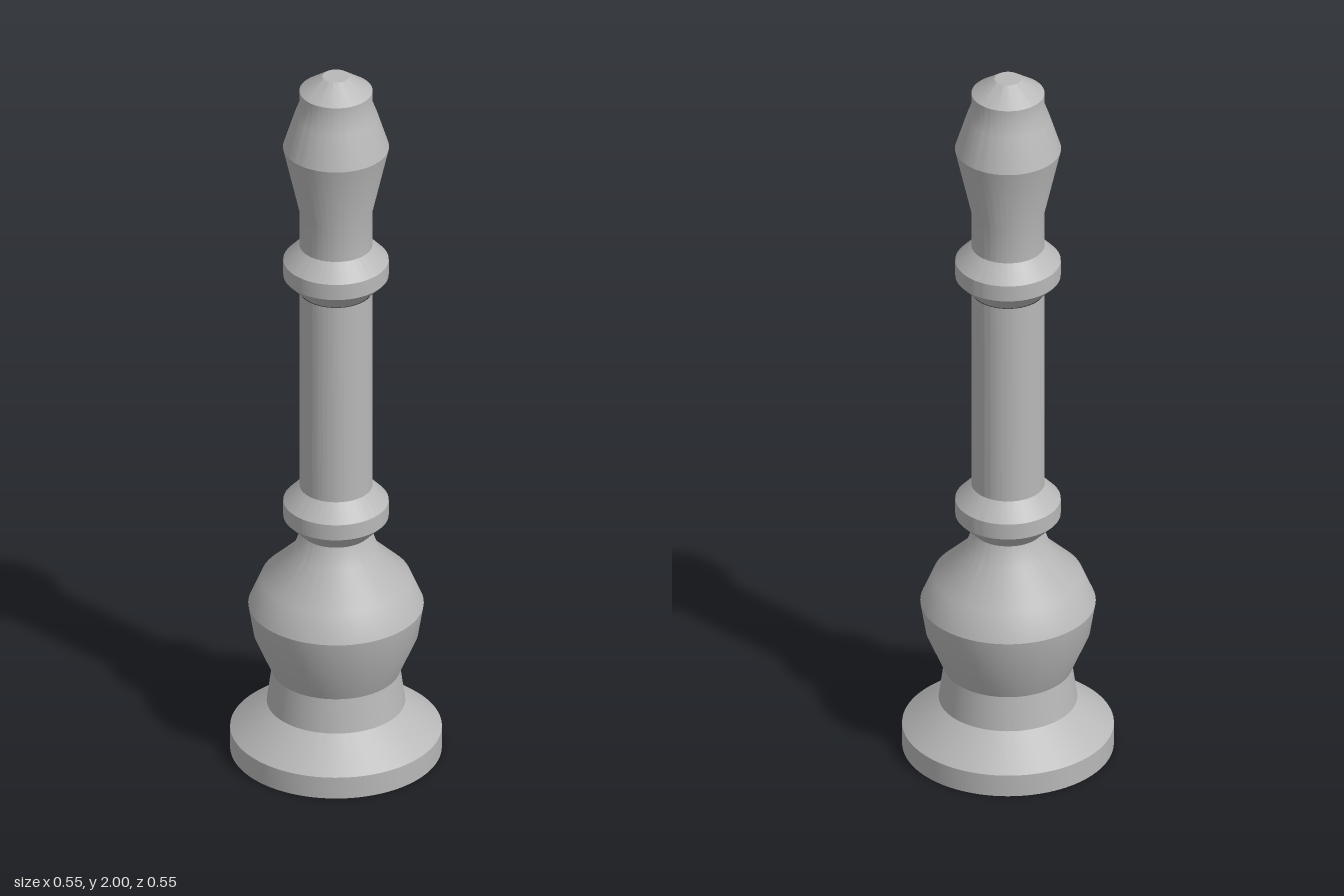
import * as THREE from 'three';
import { toCreasedNormals } from 'three/addons/utils/BufferGeometryUtils.js';

const SEGMENTS = 96;
const CREASE = THREE.MathUtils.degToRad(28);

export function createModel() {
  const group = new THREE.Group();
  group.name = 'turnedSpindle';
  const grey = new THREE.MeshStandardMaterial({ color: 0xb8b8b8 });
  grey.name = 'plain grey';

  // Turn a [radius, height] profile, listed from the bottom up
  const turn = (name, profile, y = 0) => {
    const points = profile.map(([r, h]) => new THREE.Vector2(r, h));
    const geometry = toCreasedNormals(new THREE.LatheGeometry(points, SEGMENTS), CREASE);
    const mesh = new THREE.Mesh(geometry, grey);
    mesh.name = name;
    mesh.position.y = y;
    group.add(mesh);
  };

  // Foot with a blind dowel hole in its underside
  turn('foot', [
    [0, 0.3], [0.04, 0.3], [0.04, 0], [0.275, 0], [0.275, 0.062], [0.18, 0.14],
  ]);

  // Waist, bulb and neck
  turn('bulb', [
    [0.18, 0.14], [0.167, 0.235], [0.214, 0.345], [0.228, 0.43],
    [0.195, 0.508], [0.112, 0.588], [0.092, 0.645],
  ]);

  // Matching collars at both ends of the shaft
  const collar = [[0.092, 0], [0.137, 0.047], [0.137, 0.092], [0.095, 0.137]];
  turn('lowerCollar', collar, 0.645);
  turn('shaft', [[0.095, 0.782], [0.095, 1.362]]);
  turn('upperCollar', collar, 1.362);

  // Flared finial with a blunt tip
  turn('finial', [
    [0.095, 1.499], [0.095, 1.6], [0.138, 1.79], [0.108, 1.885],
    [0.095, 1.92], [0.095, 1.957], [0.035, 2], [0, 2],
  ]);

  return group;
}
